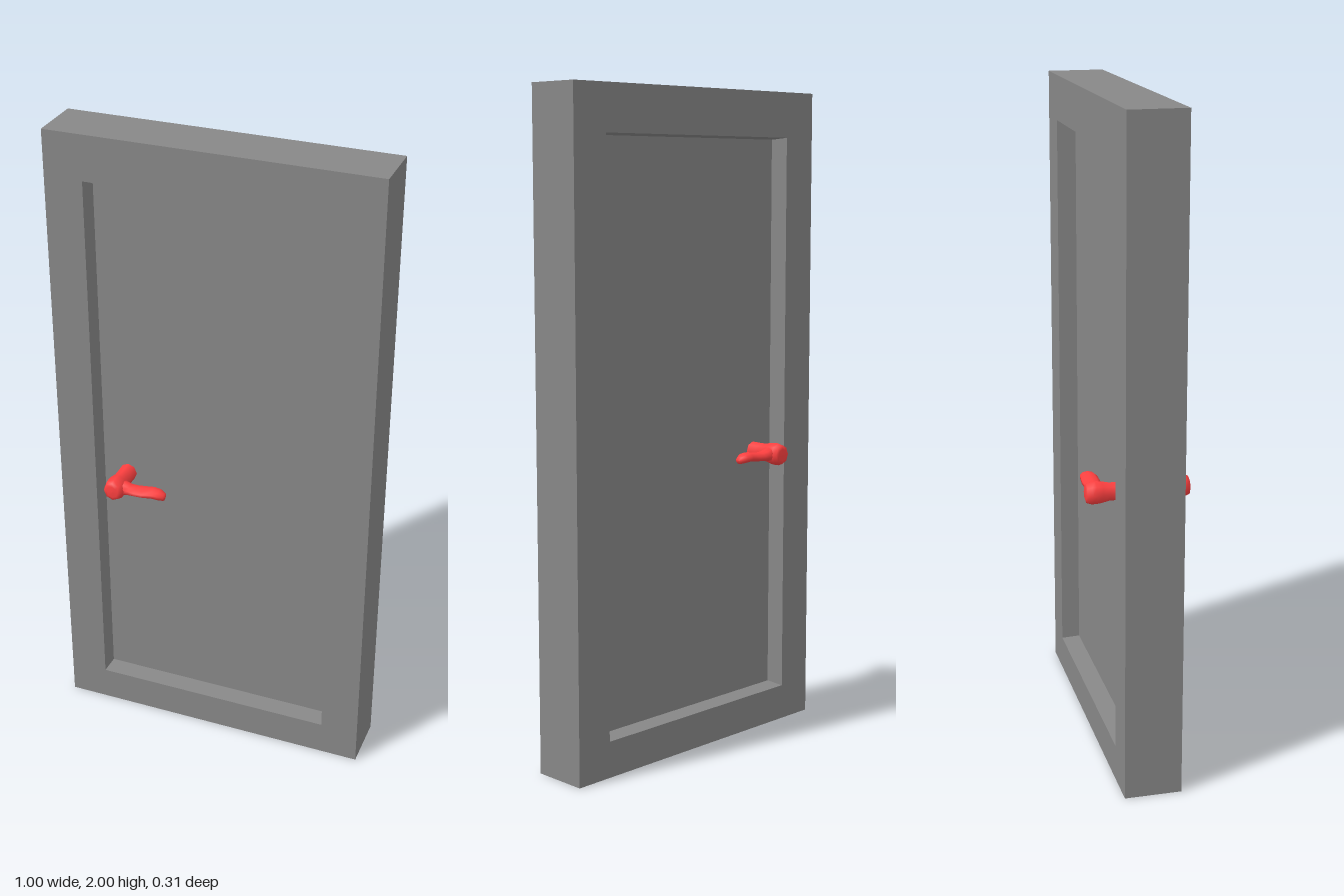
import * as THREE from 'three';

const grey = new THREE.MeshStandardMaterial({ color: 0x878787 });
const red = new THREE.MeshStandardMaterial({ color: 0xff4040 });

const FRAME_HALF = 0.086, PANEL_HALF = FRAME_HALF / 3;
const OPENING = { x: 0.381, y0: 0.11, y1: 1.862 };
const TAPER = 0.005;

function addMesh(parent, name, geometry, material) {
  const mesh = new THREE.Mesh(geometry, material);
  mesh.name = name;
  parent.add(mesh);
  return mesh;
}

// Elliptical sections [x, y, z, ry, rz] joined along x; side -1 mirrors in z
function loft(sections, sides, side) {
  const pos = [], index = [];
  for (const [x, y, z, ry, rz] of sections) {
    for (let j = 0; j < sides; j++) {
      const a = (j / sides) * Math.PI * 2;
      pos.push(x, y + ry * Math.cos(a), side * (z + rz * Math.sin(a)));
    }
  }
  for (let i = 0; i < sections.length - 1; i++) {
    for (let j = 0; j < sides; j++) {
      const k = (j + 1) % sides;
      const a = i * sides + j, b = i * sides + k, c = a + sides, d = b + sides;
      if (side > 0) index.push(a, b, c, b, d, c);
      else index.push(a, c, b, b, c, d);
    }
  }
  const g = new THREE.BufferGeometry();
  g.setAttribute('position', new THREE.Float32BufferAttribute(pos, 3));
  g.setIndex(index);
  g.computeVertexNormals();
  return g;
}

function createHandle(side) {
  const handle = new THREE.Group();
  handle.name = side > 0 ? 'frontHandle' : 'backHandle';

  // Eight-sided stem and blunt knob, taller than wide, turned about the z axis
  const profile = [
    [0.028, PANEL_HALF - 0.005], [0.027, 0.06], [0.027, 0.085], [0.032, 0.107],
    [0.034, 0.125], [0.033, 0.138], [0.028, 0.152], [0.018, 0.155], [0, 0.156],
  ].map(([r, y]) => new THREE.Vector2(r, y));
  const hub = addMesh(handle, 'hub', new THREE.LatheGeometry(profile, 8), red);
  hub.geometry.rotateX(side * Math.PI / 2);
  hub.geometry.scale(1, 1.04, 1);
  hub.position.set(-0.296, 0.886, 0);

  // Flat, gently waved grip
  const sections = [
    [-0.3, 0.888, 0.118, 0.024, 0.024],
    [-0.268, 0.887, 0.118, 0.021, 0.023],
    [-0.25, 0.885, 0.118, 0.016, 0.023],
    [-0.23, 0.884, 0.117, 0.014, 0.026],
    [-0.205, 0.886, 0.117, 0.014, 0.028],
    [-0.175, 0.89, 0.117, 0.015, 0.026],
    [-0.155, 0.888, 0.117, 0.015, 0.023],
    [-0.138, 0.883, 0.117, 0.011, 0.014],
    [-0.135, 0.882, 0.117, 0, 0],
  ];
  addMesh(handle, 'lever', loft(sections, 10, side), red);
  return handle;
}

function rectangle(Type, x, y0, y1) {
  const p = new Type();
  p.moveTo(-x, y0).lineTo(x, y0).lineTo(x, y1).lineTo(-x, y1).closePath();
  return p;
}

// Frame whose opening narrows slightly towards the panel
function createFrameGeometry() {
  const { x, y0, y1 } = OPENING;
  const outline = rectangle(THREE.Shape, 0.5, 0, 2);
  outline.holes.push(rectangle(THREE.Path, x, y0, y1));
  const g = new THREE.ExtrudeGeometry(outline, { depth: FRAME_HALF * 2, steps: 3, bevelEnabled: false });
  g.translate(0, 0, -FRAME_HALF);
  const p = g.attributes.position;
  for (let i = 0; i < p.count; i++) {
    const inOpening = Math.abs(p.getX(i)) < x + 0.01;
    if (!inOpening || Math.abs(p.getZ(i)) > PANEL_HALF + 0.01) continue;
    p.setX(i, p.getX(i) - Math.sign(p.getX(i)) * TAPER);
    p.setY(i, p.getY(i) + (p.getY(i) < 1 ? TAPER : -TAPER));
  }
  g.computeVertexNormals();
  return g;
}

export function createModel() {
  const model = new THREE.Group();
  model.name = 'door';

  addMesh(model, 'frame', createFrameGeometry(), grey);

  // Panel recessed equally on both faces
  const { x, y0, y1 } = OPENING;
  const panel = addMesh(model, 'panel',
    new THREE.BoxGeometry(2 * (x - TAPER), y1 - y0 - 2 * TAPER, PANEL_HALF * 2), grey);
  panel.position.y = (y0 + y1) / 2;

  for (const side of [1, -1]) model.add(createHandle(side));
  return model;
}
